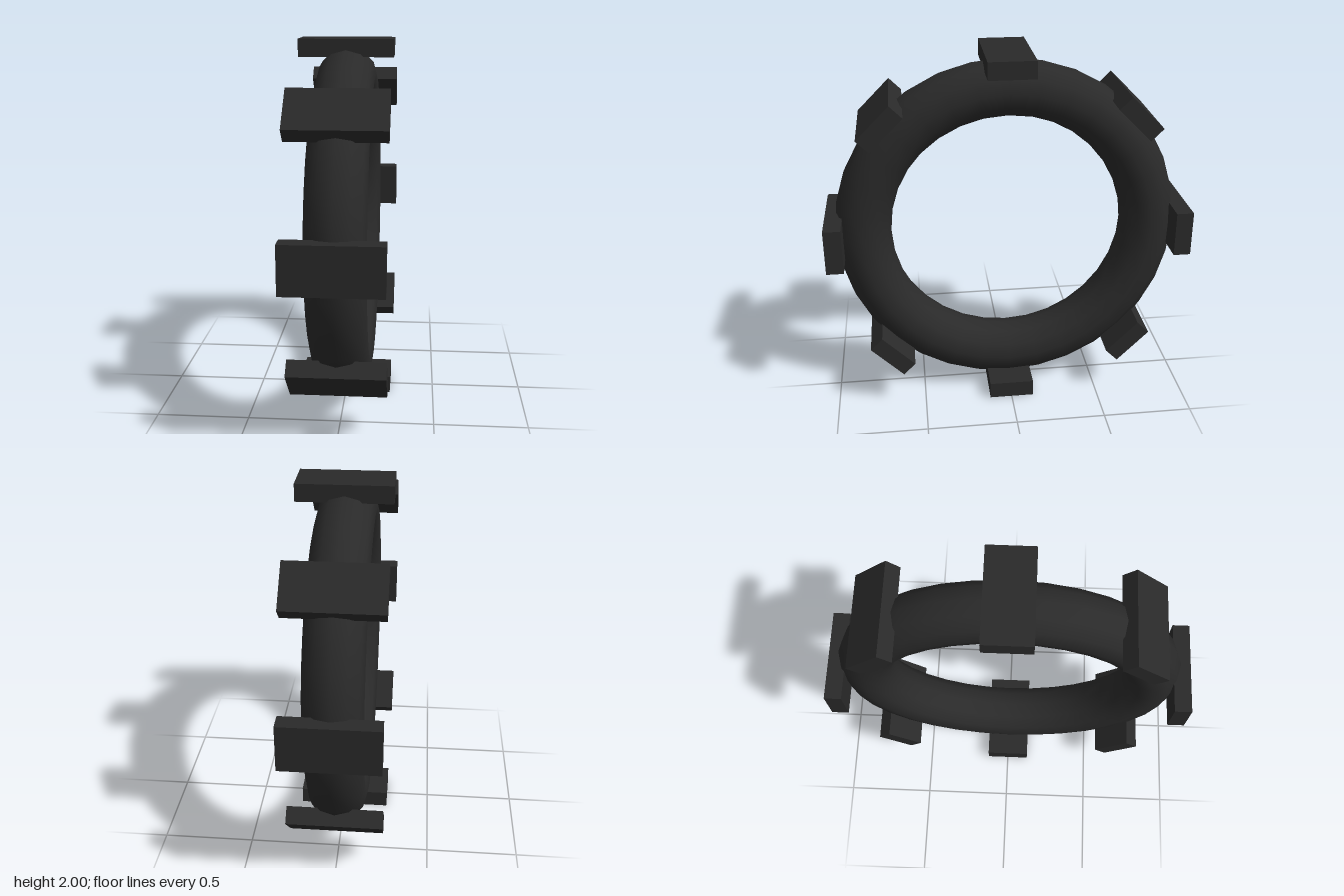
import * as THREE from 'three';

export function createModel() {
  const model = new THREE.Group();
  model.name = 'lugged ring wheel';

  const rubber = new THREE.MeshStandardMaterial({ color: 0x2a2a2a });
  rubber.name = 'dark rubber';

  // Everything is built around the axle, which runs along x
  const wheel = new THREE.Group();
  wheel.name = 'wheel';
  wheel.position.y = 1;
  model.add(wheel);

  // Round tyre
  const tyre = new THREE.Mesh(new THREE.TorusGeometry(0.8, 0.154, 12, 32), rubber);
  tyre.name = 'tyre';
  tyre.rotation.y = Math.PI / 2;
  wheel.add(tyre);

  // Eight tread blocks, evenly spaced round the rim
  const blockGeometry = new THREE.BoxGeometry(0.507, 0.094, 0.25);
  const radius = 0.953;
  for (let i = 0; i < 8; i++) {
    const angle = (i * Math.PI) / 4;
    const block = new THREE.Mesh(blockGeometry, rubber);
    block.name = `treadBlock${i + 1}`;
    block.position.set(0, Math.cos(angle) * radius, Math.sin(angle) * radius);
    block.rotation.x = angle;
    wheel.add(block);
  }

  return model;
}
